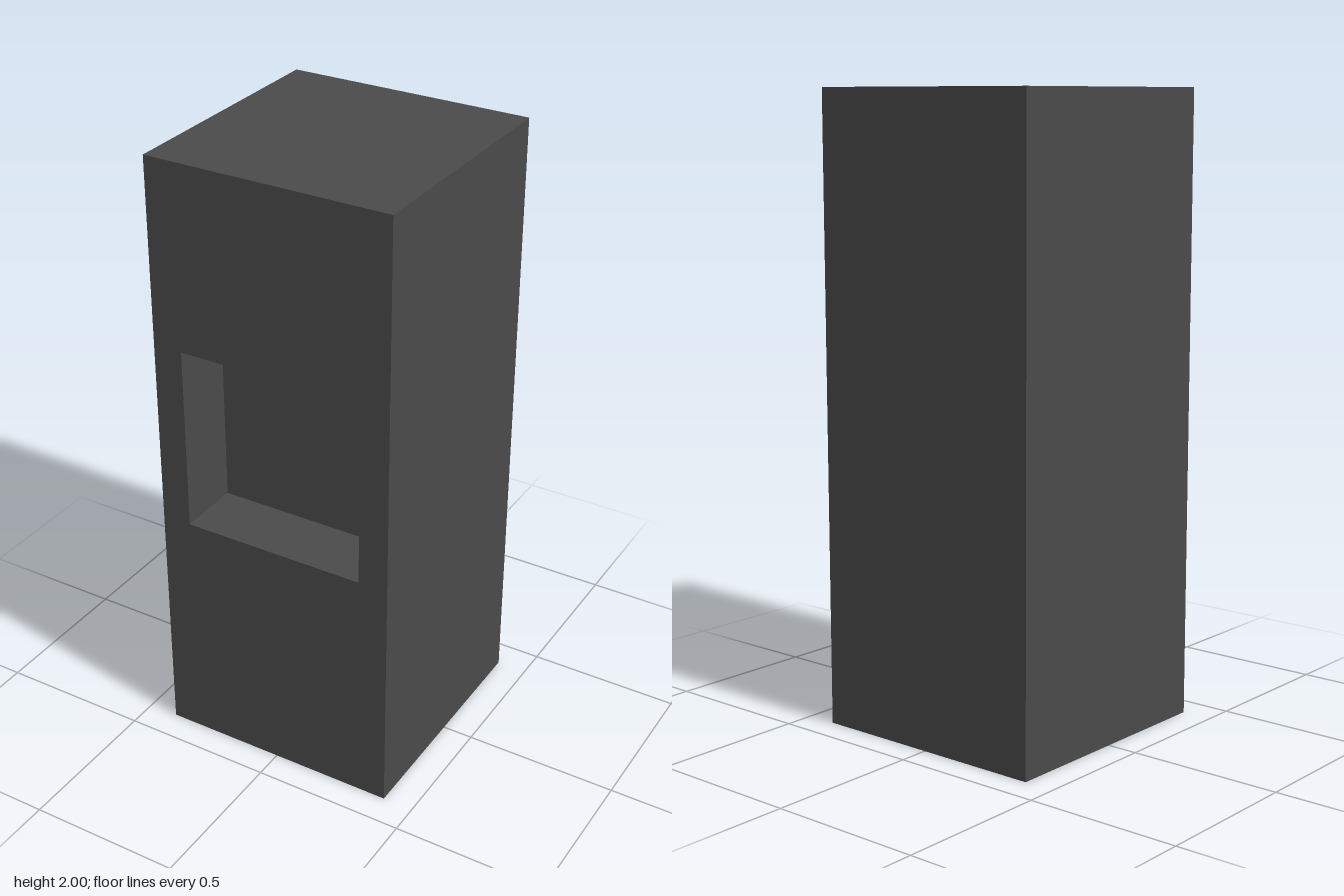
import * as THREE from 'three';

const W = 0.8, H = 2, D = 0.806;
const niche = { w: 0.606, h: 0.604, d: 0.21, y: 1.1 };

// Box without its +z face; inward turns the remaining faces to the inside
function openBox(w, h, d, inward = false) {
  const geo = new THREE.BoxGeometry(w, h, d);
  const index = Array.from(geo.index.array);
  index.splice(24, 6);
  geo.clearGroups();
  if (inward) {
    index.reverse();
    const n = geo.attributes.normal;
    for (let i = 0; i < n.count; i++) n.setXYZ(i, -n.getX(i), -n.getY(i), -n.getZ(i));
  }
  geo.setIndex(index);
  return geo;
}

// Rectangle outline centred on x = 0 and the given y
function rectangle(path, w, h, y) {
  return path
    .moveTo(-w / 2, y - h / 2)
    .lineTo(w / 2, y - h / 2)
    .lineTo(w / 2, y + h / 2)
    .lineTo(-w / 2, y + h / 2)
    .closePath();
}

export function createModel() {
  const group = new THREE.Group();
  group.name = 'pillarWithNiche';
  const darkGrey = new THREE.MeshStandardMaterial({ color: 0x4a4a4a });
  darkGrey.name = 'darkGrey';

  const add = (name, geo, y, z) => {
    const mesh = new THREE.Mesh(geo, darkGrey);
    mesh.name = name;
    mesh.position.set(0, y, z);
    group.add(mesh);
  };

  // Sides, back, top and bottom
  add('body', openBox(W, H, D), H / 2, 0);

  // Front face with the square opening
  const front = new THREE.Shape();
  rectangle(front, W, H, H / 2);
  const opening = new THREE.Path();
  rectangle(opening, niche.w, niche.h, niche.y);
  front.holes.push(opening);
  add('frontPanel', new THREE.ShapeGeometry(front), 0, D / 2);

  // Recess behind the opening
  add('niche', openBox(niche.w, niche.h, niche.d, true), niche.y, D / 2 - niche.d / 2);

  return group;
}
